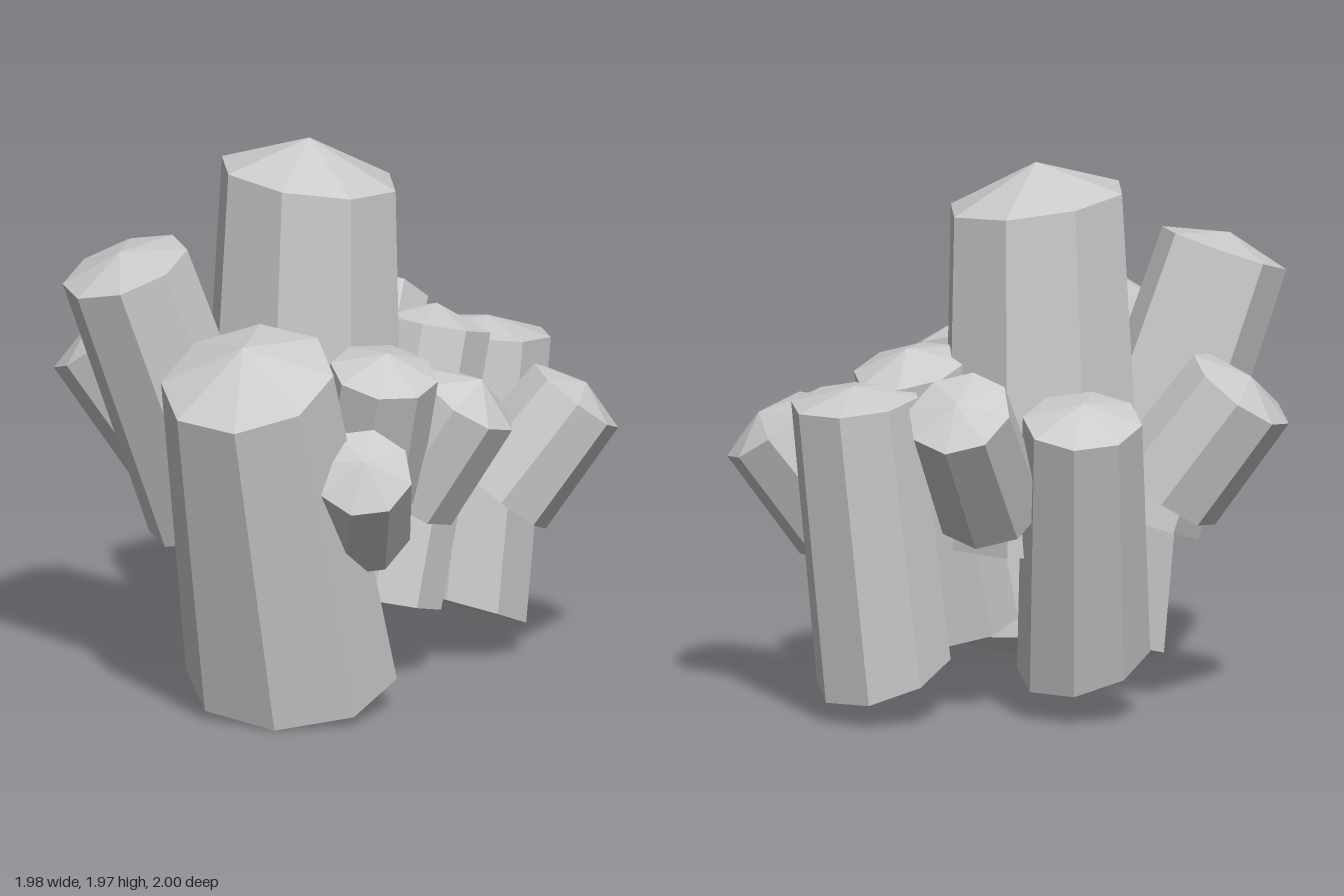
import * as THREE from 'three';

const UP = new THREE.Vector3(0, 1, 0);

// name, base centre, rim centre, base radius, rim radius, cap height, twist, slope of base [x, z], slope of rim [x, z]
const FLAT = [0, 0];
const CRYSTALS = [
  ['centralCrystal', [-0.09, 0.6, -0.1], [-0.065, 1.835, -0.1], 0.375, 0.325, 0.135, 0, FLAT, [-0.1, 0.05]],
  ['frontCrystal', [0.01, 0.11, 0.35], [-0.045, 1.29, 0.705], 0.38, 0.315, 0.13, 0.12, [-0.08, 0], [0, -0.12]],
  ['frontRightCrystal', [-0.32, 0.64, 0.2], [-0.585, 1.59, 0.435], 0.25, 0.235, 0.06, 0.2, FLAT, FLAT],
  ['rightCrystal', [-0.56, 0.82, -0.12], [-0.83, 1.19, -0.07], 0.22, 0.21, 0.06, 0.3, FLAT, FLAT],
  ['backCrystal', [-0.045, 0.8, -0.53], [-0.045, 1.2, -0.86], 0.2, 0.19, 0.05, 0, FLAT, FLAT],
  ['backLeftCrystal', [0.37, 0.17, -0.5], [0.44, 1.17, -0.61], 0.25, 0.235, 0.05, 0.1, [-0.1, 0.25], FLAT],
  ['backRightCrystal', [-0.29, 0.2, -0.23], [-0.39, 1.13, -0.52], 0.24, 0.215, 0.07, 0.2, [-0.2, 0.12], FLAT],
  ['farLeftCrystal', [0.59, 0.66, -0.28], [0.84, 1.01, -0.4], 0.21, 0.19, 0.06, 0.3, FLAT, FLAT],
  ['leftCrystal', [0.33, 0.71, -0.01], [0.555, 1.07, -0.03], 0.195, 0.19, 0.09, 0, FLAT, FLAT],
  ['innerBackCrystal', [0.21, 0.28, -0.12], [0.32, 1.25, -0.36], 0.21, 0.21, 0.07, 0.1, FLAT, FLAT],
  ['innerFrontCrystal', [0.23, 0.76, 0.16], [0.33, 1.23, 0.265], 0.19, 0.195, 0.08, 0.2, FLAT, FLAT],
  ['frontLeftCrystal', [0.255, 0.68, 0.37], [0.365, 0.96, 0.64], 0.2, 0.18, 0.08, 0.1, FLAT, FLAT],
  ['smallBackCrystal', [0.02, 0.72, -0.28], [0.08, 0.96, -0.47], 0.1, 0.1, 0.04, 0.2, FLAT, FLAT],
];

// Eight-sided prism with a shallow pointed cap; base and rim may slope
function crystal([name, base, rim, r0, r1, cap, twist, baseSlope, rimSlope], material) {
  const from = new THREE.Vector3(...base);
  const axis = new THREE.Vector3(...rim).sub(from);
  const length = axis.length();
  const profile = [[0, 0], [r0, 0], [r1, length], [0, length + cap]]
    .map(([r, y]) => new THREE.Vector2(r, y));
  const geometry = new THREE.LatheGeometry(profile, 8, twist);
  const pos = geometry.attributes.position;
  for (let i = 0; i < pos.count; i++) {
    const [sx, sz] = i % 4 < 2 ? baseSlope : rimSlope;
    pos.setY(i, pos.getY(i) + sx * pos.getX(i) + sz * pos.getZ(i));
  }
  geometry.computeVertexNormals();
  const mesh = new THREE.Mesh(geometry, material);
  mesh.name = name;
  mesh.position.copy(from);
  mesh.quaternion.setFromUnitVectors(UP, axis.normalize());
  return mesh;
}

export function createModel() {
  const group = new THREE.Group();
  group.name = 'crystalCluster';
  const material = new THREE.MeshStandardMaterial({ color: 0xcccccc, flatShading: true });
  CRYSTALS.forEach((spec) => group.add(crystal(spec, material)));
  return group;
}
